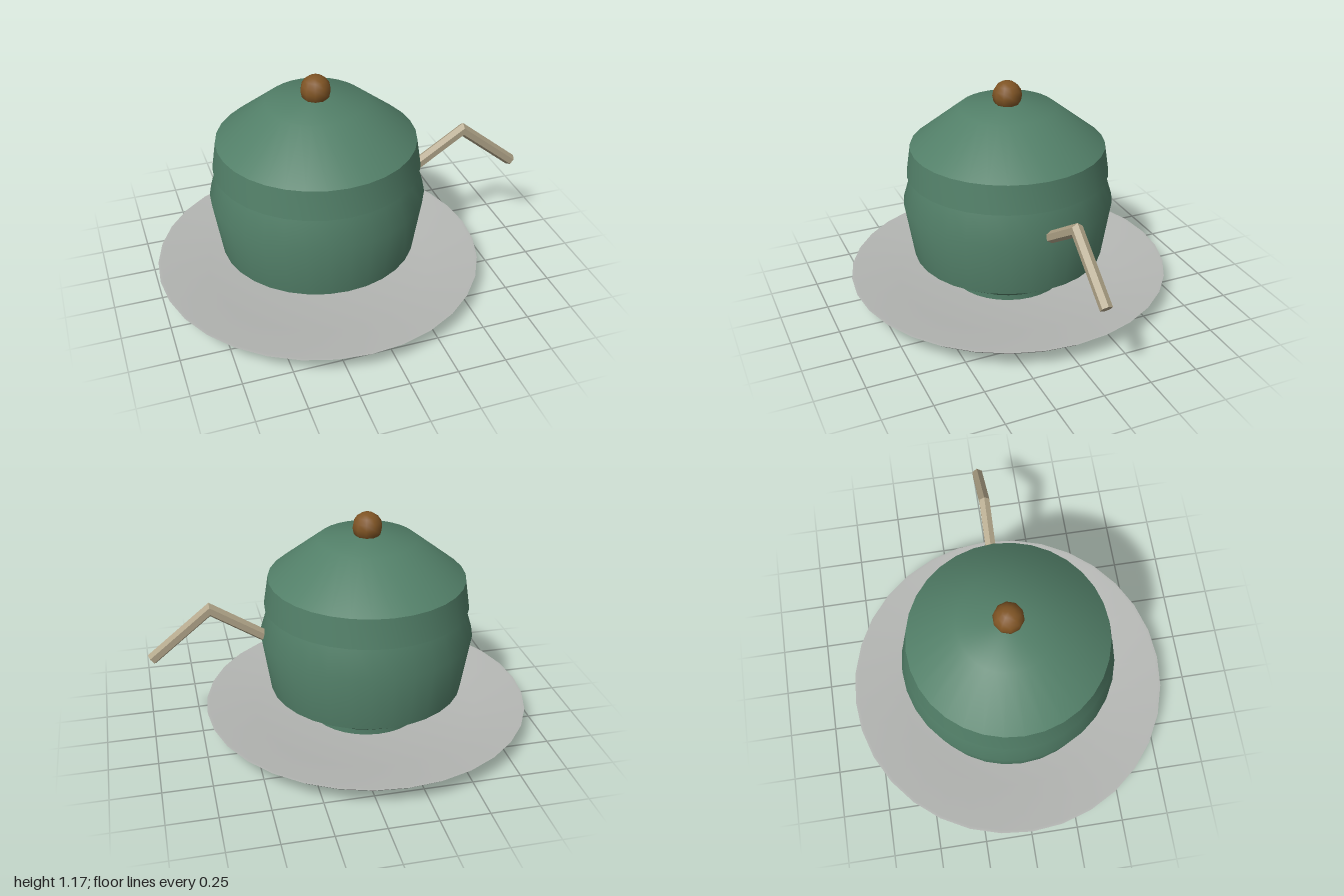
import * as THREE from 'three';
import { toCreasedNormals } from 'three/addons/utils/BufferGeometryUtils.js';

const SEGMENTS = 32;
const CENTRE_X = -0.14;

const material = (name, color, extra = {}) => {
  const m = new THREE.MeshStandardMaterial({ color, ...extra });
  m.name = name;
  return m;
};

// Turned part from a bottom-to-top profile of [radius, height]
function turned(name, profile, mat) {
  const points = profile.map(([r, y]) => new THREE.Vector2(r, y));
  const geometry = toCreasedNormals(new THREE.LatheGeometry(points, SEGMENTS), 0.66);
  const mesh = new THREE.Mesh(geometry, mat);
  mesh.name = name;
  mesh.position.x = CENTRE_X;
  return mesh;
}

// Hexagonal bar bent along three points, with a mitred joint
function bentBar(path, radius) {
  const geometry = new THREE.CylinderGeometry(radius, radius, 1, 6, 2, false, Math.PI / 6);
  const [a, b, c] = path.map(([x, y]) => new THREE.Vector2(x, y));
  const side = (p, q) => {
    const d = q.clone().sub(p).normalize();
    return new THREE.Vector2(d.y, -d.x);
  };
  const n1 = side(a, b), n2 = side(b, c);
  const mitre = n1.clone().add(n2).normalize();
  mitre.divideScalar(mitre.dot(n1));
  const centres = [a, b, c], normals = [n1, mitre, n2];
  const pos = geometry.attributes.position;
  for (let i = 0; i < pos.count; i++) {
    const ring = Math.round((pos.getY(i) + 0.5) * 2);
    const offset = pos.getX(i);
    pos.setXY(i, centres[ring].x + normals[ring].x * offset, centres[ring].y + normals[ring].y * offset);
  }
  return toCreasedNormals(geometry, 0.3);
}

export function createModel() {
  const group = new THREE.Group();
  group.name = 'lidded pot on saucer';

  const green = material('green glaze', 0x527f68);
  const grey = material('grey saucer', 0xb4b6b3);
  const brown = material('brown wood', 0x7f5424);
  const beige = material('beige handle', 0xb0a488);

  // Saucer with a thin foot, sloping wall and shallow well
  group.add(turned('saucer', [
    [0, 0], [0.59, 0], [0.62, 0.017], [0.56, 0.024], [0.61, 0.026],
    [0.83, 0.08], [0.86, 0.105], [0.845, 0.105], [0.6, 0.055], [0, 0.045],
  ], grey));

  // Pot body, standing on a small foot
  group.add(turned('pot', [
    [0, 0.046], [0.31, 0.046], [0.31, 0.08], [0.51, 0.215],
    [0.557, 0.52], [0.505, 0.69], [0, 0.69],
  ], green));

  // Lid with an overhanging collar and a sloping top
  group.add(turned('lid', [
    [0.49, 0.675], [0.533, 0.675], [0.51, 0.825], [0.253, 1.028], [0, 1.055],
  ], green));

  // Knob on top of the lid
  const knob = new THREE.Mesh(new THREE.SphereGeometry(0.077, 10, 8), brown);
  knob.name = 'knob';
  knob.position.set(CENTRE_X, 1.09, 0);
  group.add(knob);

  // Bent handle on the left side
  const handle = new THREE.Mesh(bentBar([[0.4, 0.537], [0.675, 0.715], [0.98, 0.467]], 0.031), beige);
  handle.name = 'handle';
  group.add(handle);

  return group;
}
